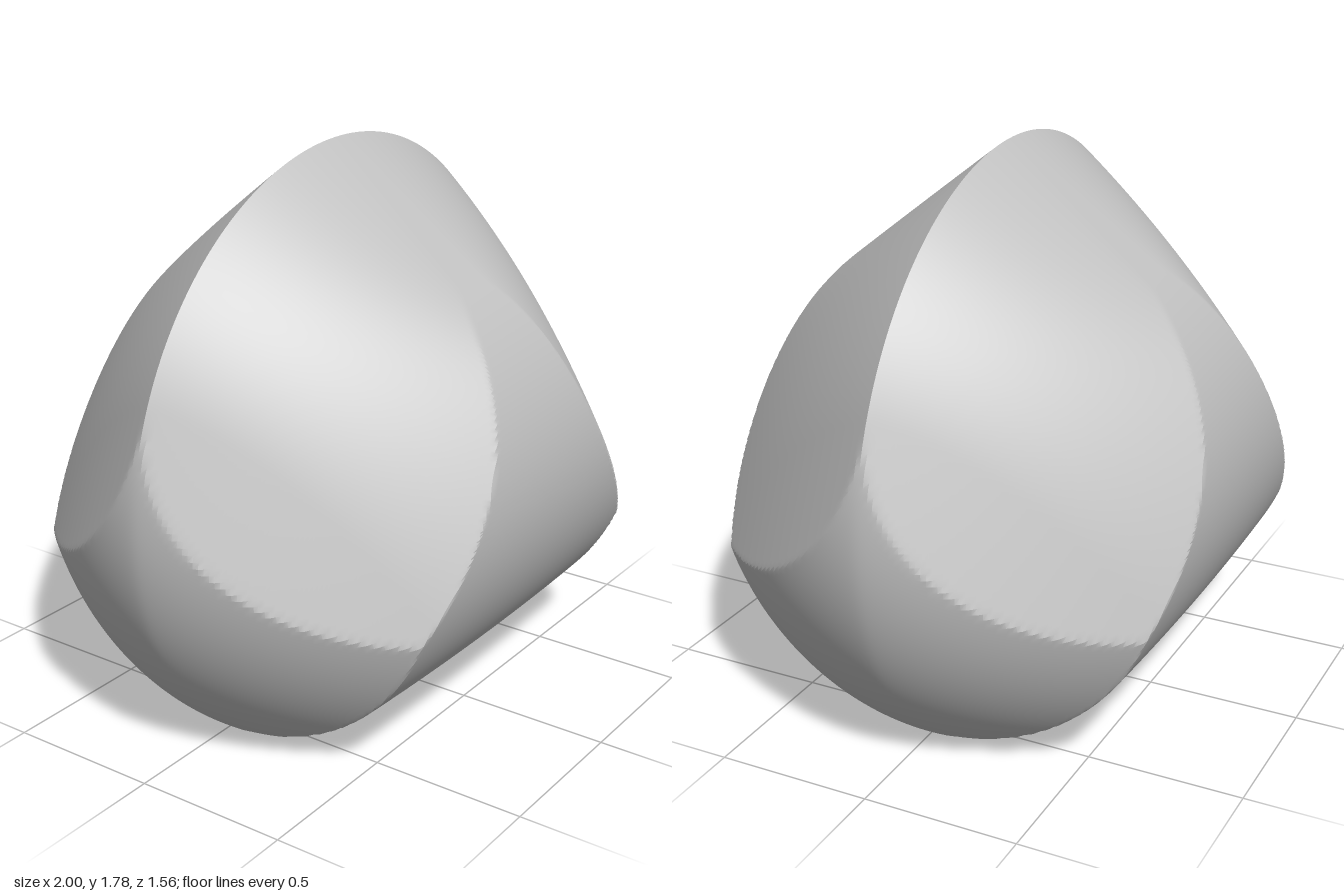
import * as THREE from 'three';
import { toCreasedNormals } from 'three/addons/utils/BufferGeometryUtils.js';

const BELLY = 0.782; // radius of the rolling underside, also the height of the centre
const SLOPE = BELLY / Math.sqrt(1 - BELLY * BELLY); // crest slope tangent to the underside

// Surfaces tangent along the crest arc: straight in the middle, bulging on the flanks
const crest = [];
for (let i = 0; i <= 60; i++) {
  const s = i / 60;
  const angle = THREE.MathUtils.degToRad(67 * s);
  crest.push([Math.sin(angle), Math.cos(angle), 1 / SLOPE - 0.165 * s, 1.3 * s * s * (1 - 0.85 * s)]);
}

// Rounded end cap, drawn in towards the tip; below 1 is inside
function capValue(x, y, z) {
  const taper = 0.7 * Math.max(0, x - 0.6) * z * z / (z + 0.05);
  return x * x + (y < 0 ? 1.065 : 1) * y * y + 1.065 * z * z + taper;
}

// Distance from the centre to the surface along a unit direction
function reach(d) {
  const x = Math.abs(d.x), y = d.y, z = Math.abs(d.z);

  // end caps
  let low = 0.5, high = 1;
  for (let i = 0; i < 30; i++) {
    const mid = (low + high) / 2;
    if (capValue(x * mid, y * mid, z * mid) < 1) low = mid;
    else high = mid;
  }
  let t = high;

  // slightly barrelled underside, below the line where the crest leaves it
  if (y < SLOPE * z) t = Math.min(t, BELLY / Math.sqrt(y * y + z * z + 0.047 * x * x));

  // crest and flanks
  for (const [a, b, c, bulge] of crest) {
    const k = a * x + b * y + c * z;
    const sum = k + Math.sqrt(k * k + 4 * bulge * z * z);
    if (sum > 1e-6) t = Math.min(t, 2 / sum);
  }
  return t;
}

export function createModel() {
  const group = new THREE.Group();
  group.name = 'balancingBody';

  const grey = new THREE.MeshStandardMaterial({ color: 0xc0c0c0 });
  grey.name = 'plain grey';

  // Sphere with its poles on z, so its equator lies on the crest
  const geometry = new THREE.SphereGeometry(1, 320, 200);
  geometry.rotateX(Math.PI / 2);
  const pos = geometry.attributes.position;
  const d = new THREE.Vector3();
  for (let i = 0; i < pos.count; i++) {
    d.fromBufferAttribute(pos, i).normalize();
    if (Math.abs(d.z) < 1e-6) d.z = 0;
    d.multiplyScalar(reach(d));
    pos.setXYZ(i, d.x, d.y + BELLY, d.z);
  }
  geometry.deleteAttribute('uv');
  geometry.deleteAttribute('normal');

  const body = new THREE.Mesh(toCreasedNormals(geometry, 0.3), grey);
  body.name = 'body';
  group.add(body);
  return group;
}
